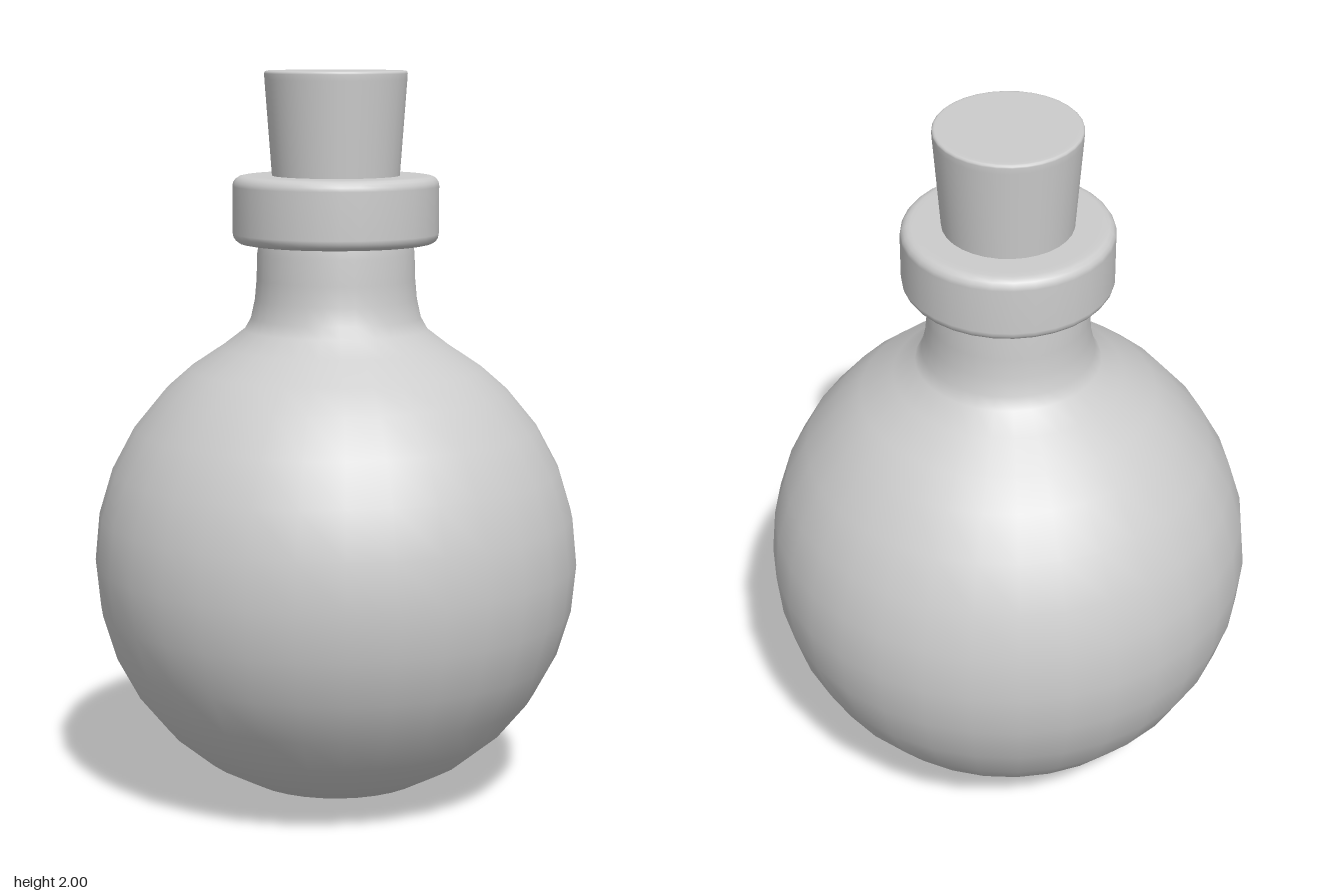
import * as THREE from 'three';

const SEGMENTS = 32;

// Revolves [radius, height] pairs listed from bottom to top
function revolve(name, profile, material) {
  const points = profile.map(([r, y]) => new THREE.Vector2(r, y));
  const mesh = new THREE.Mesh(new THREE.LatheGeometry(points, SEGMENTS), material);
  mesh.name = name;
  return mesh;
}

// Rounded corner, swept from angle a to angle b in degrees
function corner(cx, cy, radius, a, b, steps = 4) {
  return Array.from({ length: steps + 1 }, (_, i) => {
    const t = THREE.MathUtils.degToRad(a + ((b - a) * i) / steps);
    return [cx + radius * Math.cos(t), cy + radius * Math.sin(t)];
  });
}

export function createModel() {
  const grey = new THREE.MeshStandardMaterial({ color: 0xcccccc });
  grey.name = 'plain grey';
  const group = new THREE.Group();
  group.name = 'corkedFlask';

  // Round body, flowing into the shoulder and neck
  const radius = 0.665;
  const body = [];
  for (let i = 0; i <= 12; i++) {
    const t = (i * Math.PI) / 16;
    body.push([radius * Math.sin(t), radius * (1 - Math.cos(t))]);
  }
  body.push(
    [0.4, 1.197], [0.31, 1.257], [0.25, 1.303], [0.232, 1.335],
    [0.221, 1.385], [0.216, 1.44], [0.214, 1.51], [0.208, 1.545]
  );
  group.add(revolve('flaskBody', body, grey));

  // Rounded collar around the mouth
  const bevel = 0.028;
  group.add(revolve('lip', [
    [0.17, 1.537],
    [0.22, 1.537],
    ...corner(0.28 - bevel, 1.537 + bevel, bevel, -90, 0),
    ...corner(0.28 - bevel, 1.72 - bevel, bevel, 0, 90),
    [0.235, 1.72],
    [0.16, 1.72],
  ], grey));

  // Tapered stopper with a softened top edge
  group.add(revolve('stopper', [
    [0, 1.6],
    [0.164, 1.6],
    [0.165, 1.61],
    [0.173, 1.72],
    [0.192, 1.975],
    ...corner(0.185, 1.992, 0.008, 0, 90, 3),
    [0.175, 2],
    [0, 2],
  ], grey));

  return group;
}
